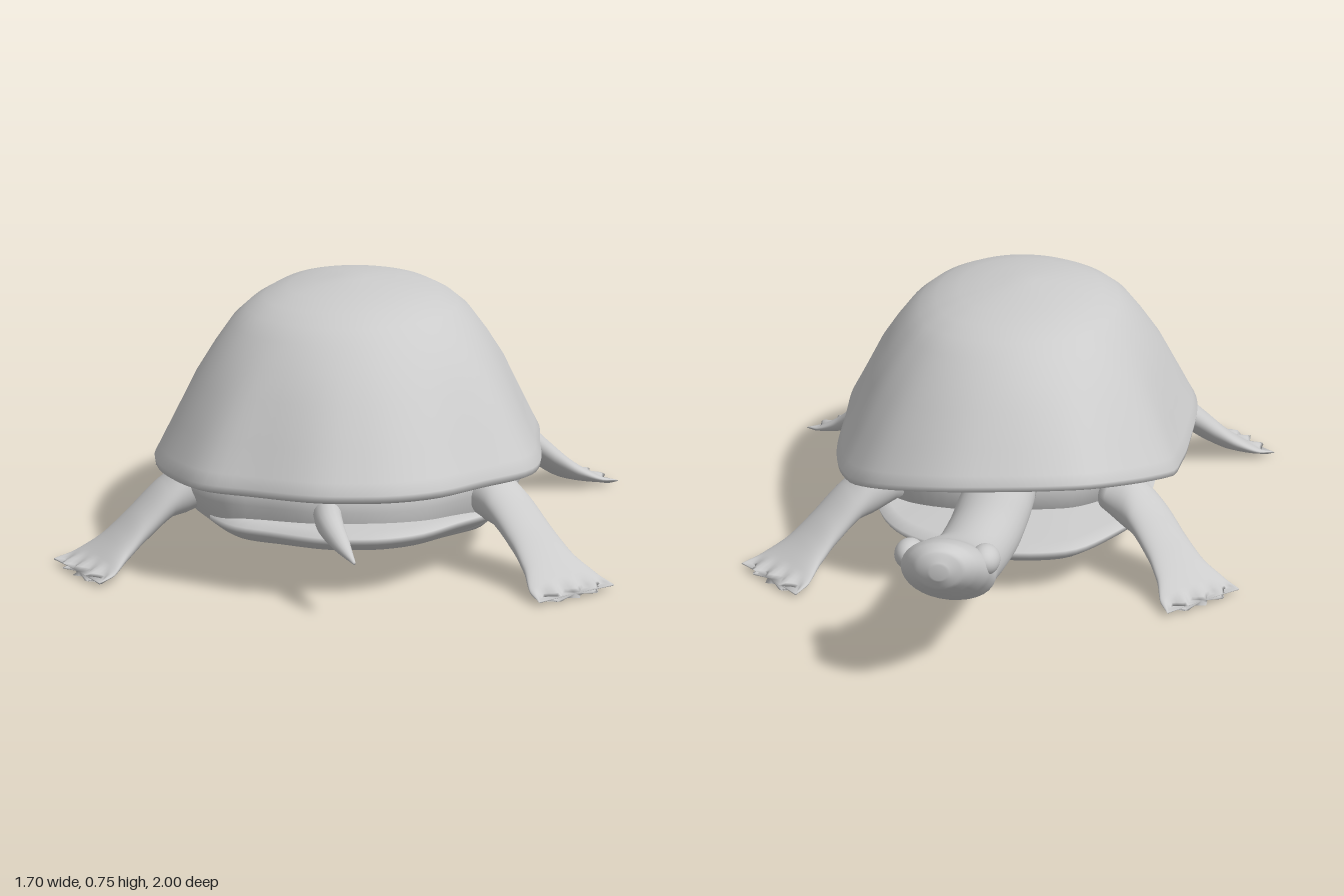
import * as THREE from 'three';

const V = (x, y, z) => new THREE.Vector3(x, y, z);
const { lerp, smoothstep } = THREE.MathUtils;
const material = new THREE.MeshStandardMaterial({ color: 0xcccccc, side: THREE.DoubleSide });

// Closed skin over equal rings; both ends are capped with a fan.
function loft(name, rings) {
  const n = rings[0].length, pos = [], index = [];
  rings.flat().forEach(p => pos.push(p.x, p.y, p.z));
  for (let i = 0; i < rings.length - 1; i++) {
    for (let j = 0; j < n; j++) {
      const a = i * n + j, b = i * n + (j + 1) % n;
      index.push(a, b, b + n, a, b + n, a + n);
    }
  }
  [0, rings.length - 1].forEach((r, end) => {
    const c = V(0, 0, 0);
    rings[r].forEach(p => c.addScaledVector(p, 1 / n));
    const k = pos.length / 3;
    pos.push(c.x, c.y, c.z);
    for (let j = 0; j < n; j++) {
      const a = r * n + j, b = r * n + (j + 1) % n;
      if (end) index.push(a, b, k); else index.push(b, a, k);
    }
  });
  const g = new THREE.BufferGeometry();
  g.setAttribute('position', new THREE.Float32BufferAttribute(pos, 3));
  g.setIndex(index);
  g.computeVertexNormals();
  const mesh = new THREE.Mesh(g, material);
  mesh.name = name;
  return mesh;
}

// Elliptical limb through stations [x, y, z, halfWidth, halfHeight].
function limb(name, stations, steps, sides, reshape) {
  const path = new THREE.CatmullRomCurve3(stations.map(s => V(s[0], s[1], s[2])));
  const size = new THREE.CatmullRomCurve3(stations.map(s => V(s[3], s[4], 0)));
  const rings = [];
  for (let i = 0; i <= steps; i++) {
    const t = i / steps, c = path.getPoint(t), s = size.getPoint(t);
    const dir = path.getTangent(t).setY(0).normalize();
    const side = V(0, 1, 0).cross(dir);
    const ring = [];
    for (let j = 0; j < sides; j++) {
      const a = j / sides * Math.PI * 2;
      const p = c.clone().addScaledVector(side, Math.cos(a) * s.x);
      p.y += Math.sin(a) * s.y;
      if (reshape) reshape(p, t, Math.cos(a), dir);
      ring.push(p);
    }
    rings.push(ring);
  }
  return loft(name, rings);
}

// Piecewise linear lookup in [key, value] pairs.
function lookup(table, k) {
  for (let i = 1; i < table.length; i++) {
    const [a, va] = table[i - 1], [b, vb] = table[i];
    if (k <= b) return va + (vb - va) * Math.max(0, (k - a) / (b - a));
  }
  return table[table.length - 1][1];
}

// Shell outline seen from above, [x, z], starting at the neck.
const OUTLINE = [
  [-0.03, -0.5], [0.1, -0.49], [0.25, -0.455], [0.38, -0.38], [0.48, -0.28], [0.545, -0.13],
  [0.565, 0.05], [0.54, 0.3], [0.515, 0.5], [0.47, 0.62], [0.33, 0.75], [0.2, 0.87],
  [0.08, 0.92], [-0.03, 0.925], [-0.13, 0.91], [-0.3, 0.82], [-0.43, 0.74], [-0.52, 0.57],
  [-0.56, 0.42], [-0.56, 0.3], [-0.51, 0.08], [-0.46, -0.1], [-0.42, -0.22], [-0.3, -0.36], [-0.15, -0.48]
];
const MID = 0.2;
const rim = new THREE.CatmullRomCurve3(OUTLINE.map(([x, z]) => V(x, 0, z)), true).getSpacedPoints(96).slice(0, -1);
const rimY = z => lookup([[-0.5, 0.4], [-0.35, 0.345], [-0.2, 0.295], [0, 0.265], [0.5, 0.28], [0.93, 0.315]], z);

// Evened-out outline for the upper dome, averaged over neighbouring points.
const softRim = rim.map((_, i) => {
  const c = V(0, 0, 0);
  for (let k = -7; k <= 7; k++) c.addScaledVector(rim[(i + k + rim.length) % rim.length], 1 / 15);
  return V(c.x * 1.035, 0, MID + (c.z - MID) * 1.035);
});

// Outline scaled about a middle line, with its height given by a rule.
const outlineRing = (sx, sz, height, cz = MID, outline = rim) =>
  outline.map(p => V(p.x * sx, height(p), cz + (p.z - cz) * sz));

function makeShell() {
  const dome = [[0.08, 0.997], [0.2, 0.98], [0.33, 0.955], [0.45, 0.91], [0.54, 0.85], [0.62, 0.77],
    [0.71, 0.63], [0.8, 0.47], [0.9, 0.24], [0.97, 0.08], [1, 0.015]];
  const rings = dome.map(([s, t]) => {
    const soft = 1 - smoothstep(s, 0.62, 1);
    const outline = rim.map((p, i) => p.clone().lerp(softRim[i], soft));
    return outlineRing(s, s, p => lerp(rimY(p.z), 0.755, t), MID, outline);
  });
  // rolled rim, then the hollow underside
  [[0.995, -0.012], [0.97, -0.02], [0.9, 0], [0.75, 0.06], [0.5, 0.11]].forEach(([s, dy]) =>
    rings.push(outlineRing(s, s, p => rimY(p.z) + dy)));
  return loft('shell', rings);
}

function makePlastron() {
  const edge = p => lookup([[-0.5, 0.15], [-0.2, 0.14], [0.3, 0.15], [0.93, 0.178]], p.z);
  // [x scale, z scale, lift, blend from edge height to belly height]
  const rows = [[0.45, 0.5, 0.02, 0], [0.75, 0.82, 0.01, 0], [0.81, 0.88, 0, 0], [0.8, 0.87, -0.01, 0.1],
    [0.73, 0.79, -0.01, 0.45], [0.6, 0.66, -0.006, 0.75], [0.42, 0.47, 0, 0.93], [0.2, 0.22, 0, 1]];
  return loft('plastron', rows.map(([sx, sz, dy, t]) => outlineRing(sx, sz, p =>
    lerp(edge(p), 0.054 + 0.045 * (0.25 + (p.z - 0.25) * sz), t) + dy, 0.25)));
}

// Leg bending from the hip over the ankle to the toes, each given as [x, z].
function makeLeg(name, hip, ankle, tip, toeWidth) {
  const plan = new THREE.QuadraticBezierCurve3(...[hip, ankle, tip].map(([x, z]) => V(x, 0, z)));
  const profile = [[0, 0.245, 0.078, 0.06], [0.3, 0.2, 0.078, 0.06], [0.55, 0.12, 0.08, 0.05],
    [0.72, 0.067, 0.092, 0.038], [0.86, 0.036, 0.115, 0.024], [1, 0.014, toeWidth, 0.009]];
  const stations = profile.map(([t, y, w, h]) => {
    const p = plan.getPoint(t);
    return [p.x, y, p.z, w, h];
  });
  // webbed foot with five short pointed toes
  return limb(name, stations, 28, 64, (p, t, u, dir) => {
    const grow = smoothstep(t, 0.85, 1);
    const lobe = Math.pow(Math.abs(Math.cos(u * Math.PI * 2)), 3);
    p.addScaledVector(dir, grow * (0.028 * lobe - 0.012 * u * u));
    p.y = Math.max(p.y + grow * 0.004 * lobe, 0.003);
  });
}

export function createModel() {
  const turtle = new THREE.Group();
  turtle.name = 'turtle';
  turtle.add(makeShell(), makePlastron());

  // body, bridging shell and plastron along the flanks
  turtle.add(loft('body', [[0.8, 0.5, 0.34], [0.92, 0.645, 0.27], [0.89, 0.645, 0.22], [0.82, 0.645, 0.15], [0.72, 0.58, 0.105]]
    .map(([sx, sz, y]) => outlineRing(sx, sz, () => y, 0.43))));

  // neck and head
  turtle.add(limb('neckAndHead', [
    [0.08, 0.23, -0.15, 0.105, 0.09], [0.115, 0.235, -0.32, 0.107, 0.093], [0.15, 0.257, -0.5, 0.104, 0.092],
    [0.202, 0.28, -0.68, 0.1, 0.09], [0.248, 0.315, -0.8, 0.124, 0.093], [0.265, 0.36, -0.88, 0.118, 0.088],
    [0.276, 0.393, -0.94, 0.096, 0.075], [0.282, 0.408, -0.98, 0.064, 0.055], [0.284, 0.41, -0.998, 0.022, 0.022]
  ], 48, 32));

  // eyes
  [['leftEye', 0.356, -0.815], ['rightEye', 0.158, -0.86]].forEach(([name, x, z]) => {
    const eye = new THREE.Mesh(new THREE.SphereGeometry(1, 24, 16), material);
    eye.name = name;
    eye.position.set(x, 0.373, z);
    eye.scale.set(0.04, 0.042, 0.058);
    eye.rotation.set(0.3, -0.2, 0);
    turtle.add(eye);
  });

  // legs
  turtle.add(
    makeLeg('frontLeftLeg', [0.39, -0.07], [0.6, -0.13], [0.755, -0.265], 0.132),
    makeLeg('frontRightLeg', [-0.25, -0.2], [-0.4, -0.33], [-0.475, -0.47], 0.13),
    makeLeg('rearLeftLeg', [0.31, 0.52], [0.48, 0.68], [0.565, 0.835], 0.128),
    makeLeg('rearRightLeg', [-0.39, 0.44], [-0.61, 0.49], [-0.762, 0.595], 0.13)
  );

  // tail
  turtle.add(limb('tail', [[-0.09, 0.215, 0.65, 0.04, 0.04], [-0.085, 0.21, 0.82, 0.036, 0.036],
    [-0.06, 0.19, 0.92, 0.024, 0.022], [-0.03, 0.165, 1, 0.004, 0.004]], 20, 16));
  return turtle;
}
